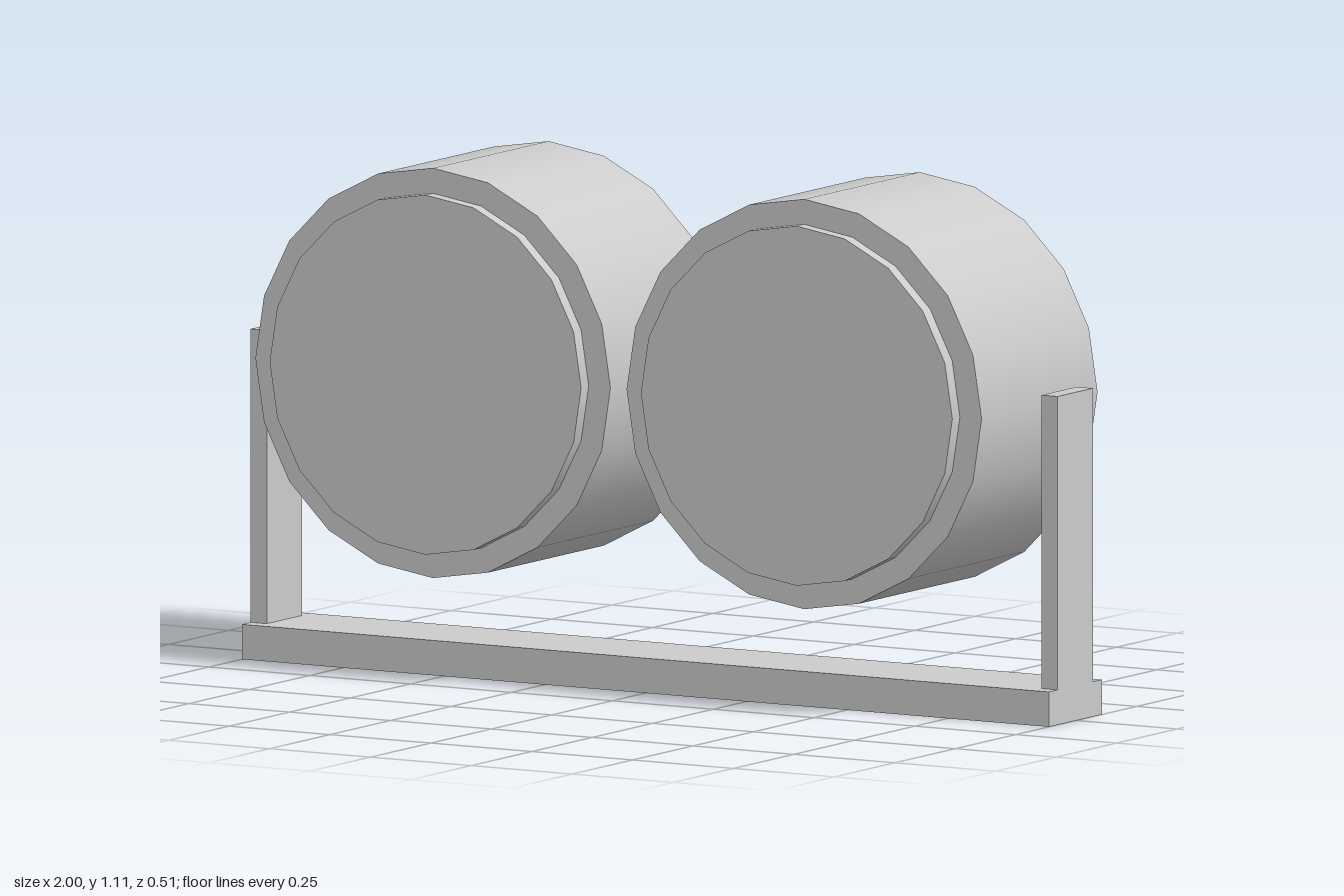
import * as THREE from 'three';

export function createModel() {
  const model = new THREE.Group();
  const grey = new THREE.MeshStandardMaterial({ color: 0xcccccc });
  grey.name = 'light grey';

  function add(name, geometry, x, y, z, parent = model) {
    const mesh = new THREE.Mesh(geometry, grey);
    mesh.name = name;
    mesh.position.set(x, y, z);
    parent.add(mesh);
    return mesh;
  }

  // Drum lying along z, between two depths
  function drum(radius, back, front) {
    return new THREE.CylinderGeometry(radius, radius, front - back, 20)
      .rotateX(Math.PI / 2)
      .translate(0, 0, (front + back) / 2);
  }

  // Mounting bar
  add('baseBar', new THREE.BoxGeometry(2, 0.075, 0.22), 0, 0.0375, 0.003);

  for (const side of [1, -1]) {
    const label = side > 0 ? 'left' : 'right';

    // Upright, let into the end of the bar
    add(label + 'Post', new THREE.BoxGeometry(0.04, 0.665, 0.146), side * 0.98, 0.3725, 0.004);

    // Round lamp: housing with a raised lens in front
    const lamp = new THREE.Group();
    lamp.name = label + 'Lamp';
    lamp.position.set(side * 0.46, 0.667, 0);
    model.add(lamp);
    add(label + 'Housing', drum(0.44, -0.255, 0.224), 0, 0, 0, lamp);
    add(label + 'Lens', drum(0.386, 0.2, 0.255), 0, 0, 0, lamp);
  }
  return model;
}
